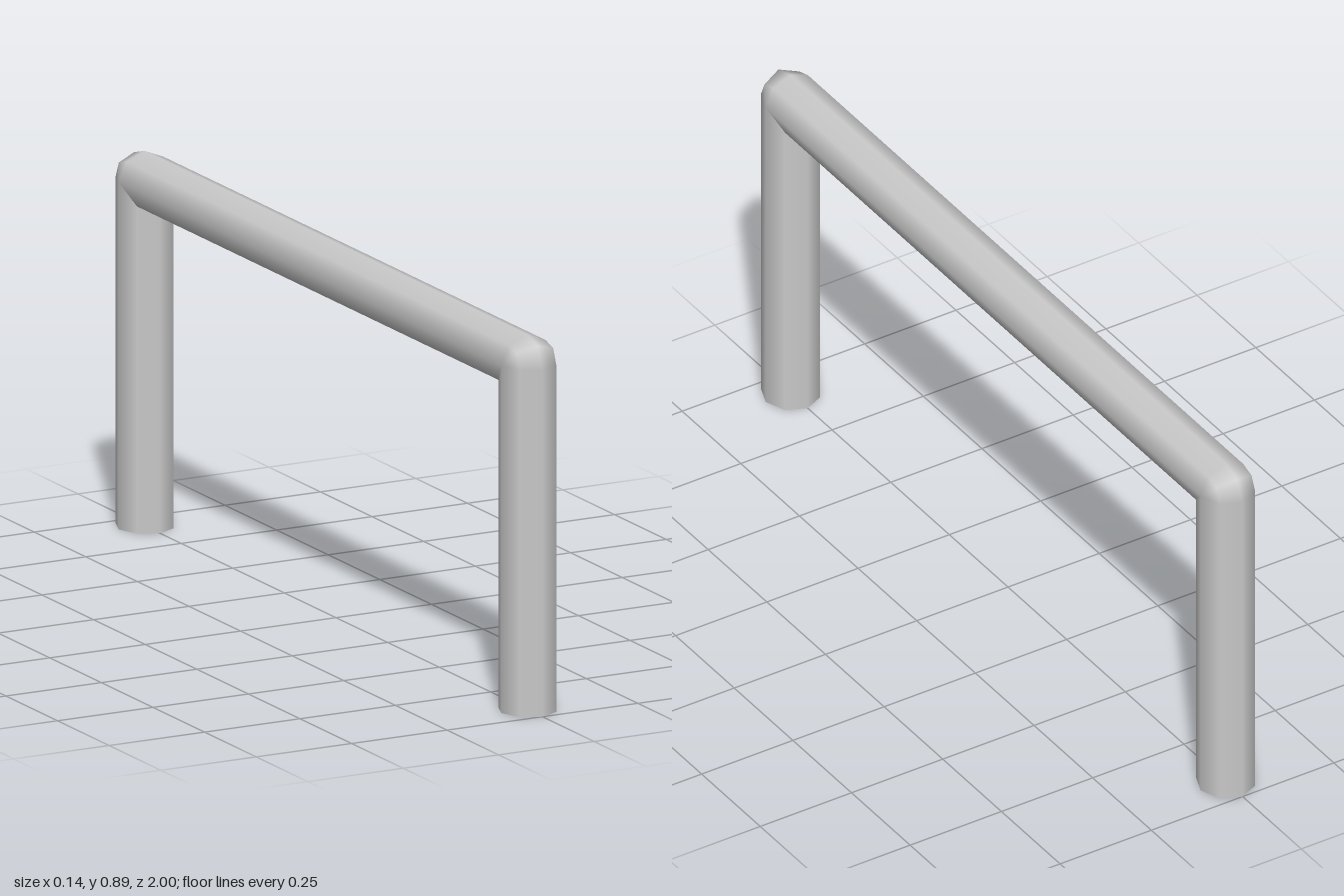
import * as THREE from 'three';

const SIDES = 8;
const HALF_WIDTH = 0.068; // tube radius across x
const LEG_R = 0.073;      // tube radius in the bending plane, legs
const BAR_R = 0.067;      // tube radius in the bending plane, bar
const LEG_Z = 0.927;
const BAR_Y = 0.828;

// Octagonal tube through rings { y, z, angle, r }; angle points to the outside of the bend.
function sweptTube(rings) {
  const pos = [], nor = [], idx = [];
  const row = SIDES + 1;
  rings.forEach(({ y, z, angle, r }, i) => {
    const cz = Math.cos(angle), cy = Math.sin(angle);
    for (let j = 0; j <= SIDES; j++) {
      const t = (j / SIDES) * Math.PI * 2;
      const s = Math.sin(t), c = Math.cos(t);
      pos.push(HALF_WIDTH * s, y + r * c * cy, z + r * c * cz);
      nor.push(s, c * cy, c * cz);
      if (i < rings.length - 1 && j < SIDES) {
        const a = i * row + j, b = a + 1, d = a + row, e = d + 1;
        idx.push(a, b, d, b, e, d);
      }
    }
  });
  const g = new THREE.BufferGeometry();
  g.setAttribute('position', new THREE.Float32BufferAttribute(pos, 3));
  g.setAttribute('normal', new THREE.Float32BufferAttribute(nor, 3));
  g.setIndex(idx);
  return g;
}

export function createModel() {
  const group = new THREE.Group();
  group.name = 'barHandle';
  const material = new THREE.MeshStandardMaterial({ color: 0xcccccc });

  // Front leg, elbow, bar, elbow, back leg in one sweep
  const q = Math.PI / 4;
  const rings = [
    { y: 0, z: LEG_Z, angle: 0, r: LEG_R },
    { y: BAR_Y, z: LEG_Z, angle: 0, r: LEG_R },
    { y: BAR_Y, z: LEG_Z, angle: q, r: LEG_R },
    { y: BAR_Y, z: LEG_Z, angle: 2 * q, r: BAR_R },
    { y: BAR_Y, z: -LEG_Z, angle: 2 * q, r: BAR_R },
    { y: BAR_Y, z: -LEG_Z, angle: 3 * q, r: LEG_R },
    { y: BAR_Y, z: -LEG_Z, angle: 4 * q, r: LEG_R },
    { y: 0, z: -LEG_Z, angle: 4 * q, r: LEG_R },
  ];
  const tube = new THREE.Mesh(sweptTube(rings), material);
  tube.name = 'bentTube';
  group.add(tube);

  // Flat ends under the legs
  const capGeometry = new THREE.CircleGeometry(1, SIDES)
    .rotateX(Math.PI / 2)
    .scale(HALF_WIDTH, 1, LEG_R);
  for (const [name, side] of [['frontFootCap', 1], ['backFootCap', -1]]) {
    const cap = new THREE.Mesh(capGeometry, material);
    cap.name = name;
    cap.position.z = side * LEG_Z;
    group.add(cap);
  }
  return group;
}
